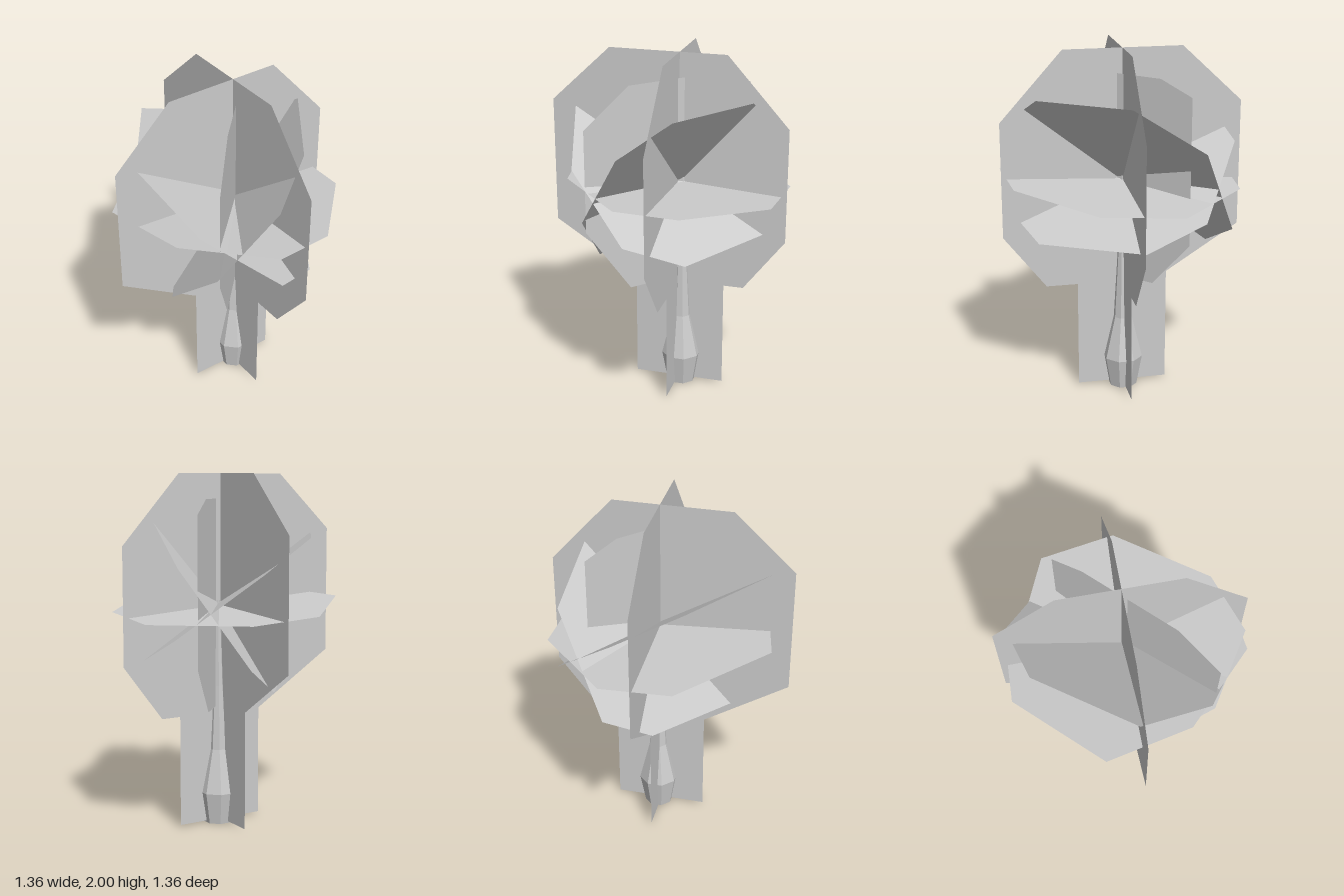
import * as THREE from 'three';

const material = new THREE.MeshStandardMaterial({ color: 0xcccccc, flatShading: true, side: THREE.DoubleSide });

// Flat card: a 2D outline whose points are placed in space by a rule
function card(name, outline, place) {
  const shape = new THREE.Shape(outline.map(([u, v]) => new THREE.Vector2(u, v)));
  const geometry = new THREE.ShapeGeometry(shape);
  const pos = geometry.attributes.position;
  for (let i = 0; i < pos.count; i++) pos.setXYZ(i, ...place(pos.getX(i), pos.getY(i)));
  geometry.computeVertexNormals();
  const mesh = new THREE.Mesh(geometry, material);
  mesh.name = name;
  return mesh;
}

export function createModel() {
  const tree = new THREE.Group();
  tree.name = 'tree';
  const axisZ = -0.08;

  // Tapering eight-sided trunk with a swollen foot
  const profile = [[0, 0], [0.083, 0], [0.115, 0.18], [0.053, 0.43], [0.031, 0.8], [0.012, 1.29], [0, 1.29]];
  const trunk = new THREE.Mesh(
    new THREE.LatheGeometry(profile.map(([r, y]) => new THREE.Vector2(r, y)), 8, Math.PI / 8), material);
  trunk.position.z = axisZ;
  trunk.name = 'trunk';
  tree.add(trunk);

  // Upright crossing cards showing the whole tree
  const wide = [[-0.34, 2], [0.33, 2], [0.68, 1.61], [0.68, 0.95], [0.44, 0.64], [0.26, 0.64],
    [0.26, 0.01], [-0.26, 0.01], [-0.26, 0.68], [-0.68, 0.95], [-0.68, 1.68]];
  tree.add(card('wideCard', wide, (u, v) => [u, v, -0.063]));
  const deep = [[0.34, 2], [-0.33, 2], [-0.68, 1.61], [-0.68, 0.95], [-0.445, 0.64], [-0.33, 0.64],
    [-0.33, 0.01], [0.196, 0.01], [0.196, 0.64], [0.68, 0.95], [0.68, 1.68]];
  tree.add(card('deepCard', deep, (u, v) => [0, v, u]));

  // Smaller upright card set diagonally
  const diagonal = [[-0.17, 1.86], [0.25, 1.86], [0.445, 1.65], [0.445, 1.07], [0.25, 0.68],
    [-0.14, 0.68], [-0.31, 0.95], [-0.31, 1.78]];
  tree.add(card('diagonalCard', diagonal, (u, v) => [u, v, 0.97 * u - 0.092]));

  // Sloping branch cards, given in plan; two tilt about one level diagonal line
  const across = (x, z) => 0.573 * x - 0.82 * (z - axisZ);
  const steep = [[0.03, -0.485], [0.49, -0.16], [0.635, 0.1], [0.45, 0.36], [0.065, 0.4],
    [-0.455, 0], [-0.6, -0.24], [-0.36, -0.54]];
  tree.add(card('steepBranchCard', steep, (x, z) => [x, 1.27 + 1.38 * across(x, z), z]));
  const gentle = [[-0.015, 0.55], [0.4, 0.43], [0.64, 0.07], [0.5, -0.235], [-0.03, -0.57],
    [-0.36, -0.56], [-0.617, -0.175], [-0.525, 0.187]];
  tree.add(card('gentleBranchCard', gentle, (x, z) => [x, 1.27 - 0.74 * across(x, z), z]));

  // Nearly level branch card
  const level = [[0.67, 0.11], [0.63, -0.235], [0.226, -0.635], [-0.223, -0.66], [-0.635, -0.25],
    [-0.65, 0.157], [-0.204, 0.6], [0.285, 0.5]];
  tree.add(card('levelBranchCard', level, (x, z) => [x, 1.265 + 0.05 * x + 0.07 * z, z]));

  return tree;
}
